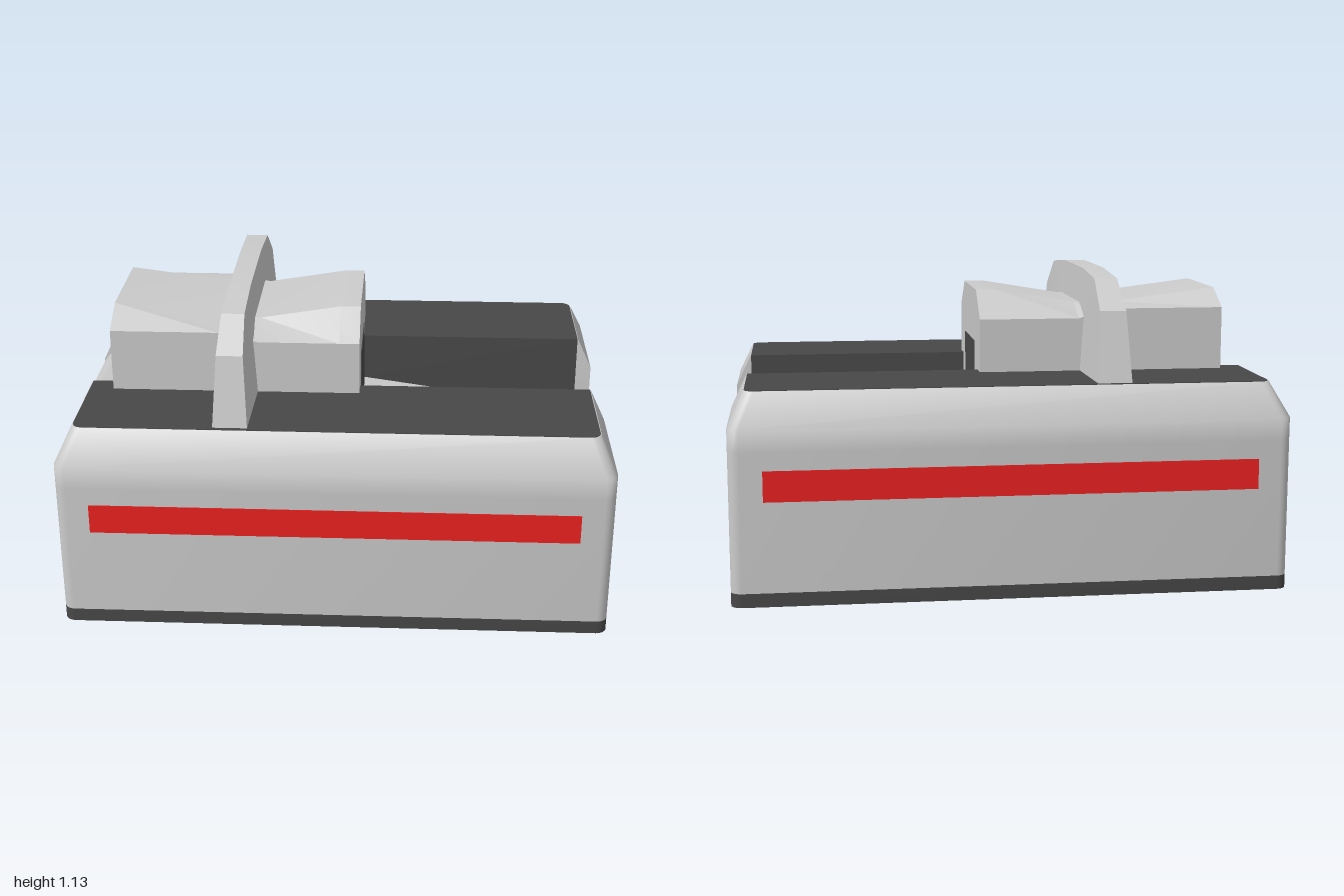
import * as THREE from 'three';
import { toCreasedNormals } from 'three/addons/utils/BufferGeometryUtils.js';

const grey = new THREE.MeshStandardMaterial({ color: 0xcccccc });
const dark = new THREE.MeshStandardMaterial({ color: 0x484848 });
const red = new THREE.MeshStandardMaterial({ color: 0xee2020 });

// Skin a stack of equal-length rings and close both ends with fans.
function loft(rings, crease) {
  const n = rings[0].length, index = [];
  for (let k = 0; k < rings.length - 1; k++) {
    for (let i = 0; i < n; i++) {
      const a = k * n + i, b = k * n + (i + 1) % n;
      index.push(a, b, b + n, a, b + n, a + n);
    }
  }
  const top = (rings.length - 1) * n;
  for (let i = 1; i < n - 1; i++) {
    index.push(top, top + i, top + i + 1, 0, i + 1, i);
  }
  const g = new THREE.BufferGeometry();
  g.setAttribute('position', new THREE.Float32BufferAttribute(rings.flat(2), 3));
  g.setIndex(index);
  return toCreasedNormals(g, crease);
}

// Plan outline at height y, with rounded corners on the outer (+z) side.
function plan(y, x, zIn, zOut, r) {
  const pts = [[-x, y, zIn]], steps = 5;
  for (const s of [-1, 1]) {
    for (let i = 0; i <= steps; i++) {
      const a = (s < 0 ? i : steps - i) / steps * Math.PI / 2;
      pts.push([s * (x - r + r * Math.cos(a)), y, zOut - r + r * Math.sin(a)]);
    }
  }
  pts.push([x, y, zIn]);
  return pts;
}

export function createModel() {
  const model = new THREE.Group();
  const add = (name, geometry, material, x = 0, y = 0, z = 0) => {
    const mesh = new THREE.Mesh(geometry, material);
    mesh.name = name;
    mesh.position.set(x, y, z);
    model.add(mesh);
    return mesh;
  };
  const box = (w, h, d) => new THREE.BoxGeometry(w, h, d);

  // Dark base plate: two mirrored halves of the rounded plan
  const baseHalf = loft([plan(0, 1, 0, 0.755, 0.04), plan(0.05, 1, 0, 0.755, 0.04)], 0.5);

  // Side wall with bevelled rim, and the dark lining on its top and inner face
  const sideWall = loft([
    plan(0.05, 1, 0.24, 0.755, 0.04),
    plan(0.55, 1, 0.247, 0.755, 0.04),
    plan(0.63, 1, 0.25, 0.755, 0.04),
    plan(0.75, 0.943, 0.255, 0.667, 0.035),
  ], 0.8);
  const lining = loft([
    plan(0.36, 0.94, 0.24, 0.6, 0.03),
    plan(0.752, 0.94, 0.252, 0.665, 0.035),
  ], 0.5);

  for (const [side, turn, s] of [['front', 0, 1], ['back', Math.PI, -1]]) {
    add(side + 'BasePlate', baseHalf, dark).rotation.y = turn;
    add(side + 'SideWall', sideWall, grey).rotation.y = turn;
    add(side + 'WallLining', lining, dark).rotation.y = turn;
    add(side + 'Stripe', box(1.76, 0.11, 0.01), red, 0, 0.43, s * 0.752);
  }

  // Sloping channel floor between the walls, bevelled at both ends
  const floor = new THREE.Shape([
    [-1, 0.05], [1, 0.05], [1, 0.38], [0.95, 0.45], [-0.93, 0.71], [-1, 0.62],
  ].map(([x, y]) => new THREE.Vector2(x, y)));
  add('channelFloor', new THREE.ExtrudeGeometry(floor, { depth: 0.51, bevelEnabled: false }), grey, 0, 0, -0.255);
  add('channelEndStripe', box(0.01, 0.1, 0.51), red, 0.998, 0.33, 0);

  // Central block: bevelled section along x, dipping towards the fin
  const blockRings = [
    [-0.85, 0.985, 1.05], [-0.45, 0.985, 1.0], [-0.375, 0.97, 1.0],
    [-0.3, 0.95, 1.0], [0, 0.95, 1.05], [0.075, 0.95, 1.05],
  ].map(([x, side, top]) => [
    [x, 0.5, -0.325], [x, side, -0.325], [x, top, -0.2],
    [x, top, 0.2], [x, side, 0.325], [x, 0.5, 0.325],
  ]);
  add('centralBlock', loft(blockRings, 0.3), grey);
  add('blockOpening', box(0.01, 0.28, 0.31), dark, 0.073, 0.71, 0);

  // Cross fin: outline points as [z, y, half thickness]
  const finOutline = [
    [0, 0.74, 0.078], [-0.652, 0.74, 0.063], [-0.592, 1.005, 0.048], [-0.45, 1.11, 0.042], [-0.2, 1.13, 0.04],
    [0.2, 1.13, 0.04], [0.45, 1.11, 0.042], [0.592, 1.005, 0.048], [0.652, 0.74, 0.063],
  ];
  const finRings = [-1, 1].map((s) => finOutline.map(([z, y, t]) => [s * t, y, z]));
  add('crossFin', loft(finRings, 0.25), grey, -0.375);

  return model;
}
